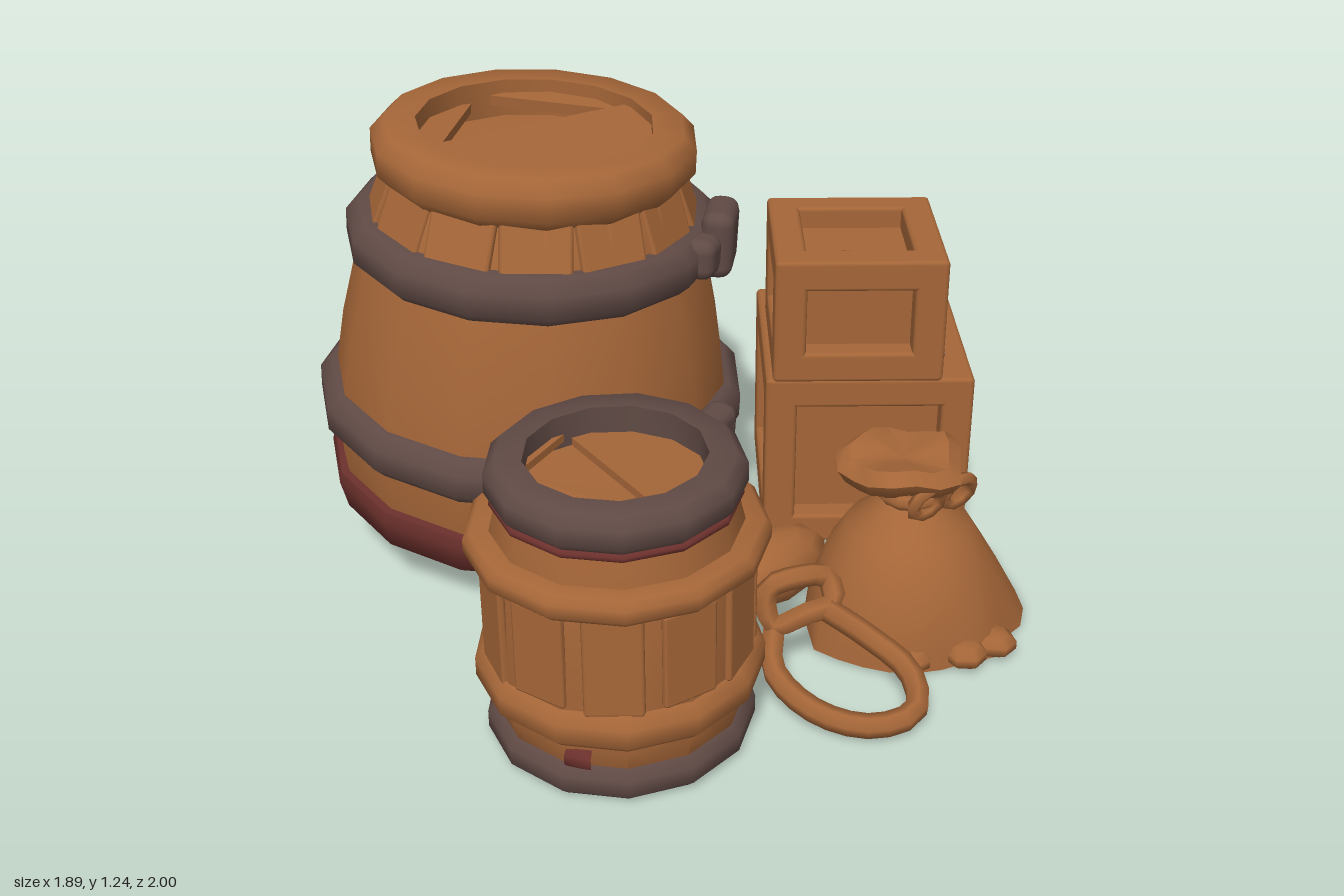
import * as THREE from 'three';
import { toCreasedNormals } from 'three/addons/utils/BufferGeometryUtils.js';
import { RoundedBoxGeometry } from 'three/addons/geometries/RoundedBoxGeometry.js';

const mat = (name, color) => new THREE.MeshStandardMaterial({ name, color });
const wood = mat('wood', 0xa56638);
const iron = mat('iron', 0x604a45);
const red = mat('darkRed', 0x6b302c);

function add(parent, name, geometry, material, pos = [0, 0, 0], rot = [0, 0, 0]) {
  const m = new THREE.Mesh(geometry, material);
  m.name = name;
  m.position.set(...pos);
  m.rotation.set(...rot);
  parent.add(m);
  return m;
}

function group(parent, name, pos, rot = [0, 0, 0]) {
  const g = new THREE.Group();
  g.name = name;
  g.position.set(...pos);
  g.rotation.set(...rot);
  parent.add(g);
  return g;
}

const lathe = (pts, sides, start = 0, length = Math.PI * 2) => toCreasedNormals(
  new THREE.LatheGeometry(pts.map(p => new THREE.Vector2(...p)), sides, start, length), 0.9);

// Rounded hoop between two heights, from inner to outer radius
function hoop(inner, outer, y0, y1, sides, start, length) {
  const b = (y1 - y0) * 0.26;
  return lathe([[inner, y0], [outer - b, y0], [outer, y0 + b], [outer, y1 - b],
    [outer - b, y1], [inner, y1], [inner, y0]], sides, start, length);
}

// Flat pie slice used for lid boards
function slice(r, a0, a1, h) {
  const s = new THREE.Shape();
  s.moveTo(0, 0);
  s.absarc(0, 0, r, a0, a1, false);
  const g = new THREE.ExtrudeGeometry(s, { depth: h, bevelEnabled: false, curveSegments: 10 });
  return g.rotateX(-Math.PI / 2);
}

// Run a callback for each of n angles around a barrel
function around(n, fn) {
  for (let i = 0; i < n; i++) fn((i / n) * Math.PI * 2, i);
}

function bigBarrel(root) {
  const g = group(root, 'bigBarrel', [-0.315, 0.125, -0.435], [0.055, 0, -0.03]);
  const n = 15;
  // Body, closed by a sunken floor under the lid
  add(g, 'bigBarrelBody', lathe([[0.53, 0.05], [0.555, 0.2], [0.55, 0.35], [0.525, 0.52], [0.48, 0.72],
    [0.435, 0.86], [0.385, 1.0], [0.33, 1.02], [0.33, 0.99], [0, 0.99]], n), wood);
  add(g, 'bigBarrelBase', lathe([[0, 0.03], [0.48, 0.03], [0.52, 0], [0.55, 0.02], [0.572, 0.1],
    [0.565, 0.13], [0.52, 0.135]], n), red);
  add(g, 'lowerHoop', hoop(0.53, 0.595, 0.245, 0.375, n), iron);
  add(g, 'upperHoop', hoop(0.42, 0.505, 0.73, 0.86, n), iron);
  add(g, 'bigBarrelRim', hoop(0.315, 0.433, 0.96, 1.095, n), wood);
  // Stave ends under the rim
  around(13, a => add(g, 'neckStave', new RoundedBoxGeometry(0.185, 0.15, 0.03, 1, 0.01), wood,
    [Math.sin(a) * 0.4, 0.91, Math.cos(a) * 0.4], [-0.36, a, 0, 'YXZ']));
  // Lid boards, the rear ones sunken
  add(g, 'lidFront', slice(0.33, Math.PI, Math.PI * 2, 0.03), wood, [0, 1.04, -0.04], [0.02, 0.06, 0]);
  add(g, 'lidBackRight', slice(0.31, 0, Math.PI / 2, 0.03), wood, [0.02, 1.01, -0.02], [0.05, 0.06, 0.04]);
  add(g, 'lidBackLeft', slice(0.31, Math.PI / 2, Math.PI, 0.03), wood, [0, 0.995, -0.02], [0.05, 0.06, -0.04]);
  // Hoop clasps
  const clasp = (name, a, r, y, s) => {
    const c = group(g, name, [Math.sin(a) * r, y, Math.cos(a) * r], [0, a, 0]);
    add(c, 'claspBlock', new RoundedBoxGeometry(s, s * 1.15, 0.09, 2, 0.035), iron);
    return c;
  };
  clasp('upperClasp', 0.87, 0.505, 0.815, 0.165);
  clasp('upperClaspEnd', 0.64, 0.485, 0.805, 0.1);
  const c = clasp('lowerClasp', 0.48, 0.585, 0.325, 0.145);
  add(c, 'rustSpot', new THREE.CylinderGeometry(0.022, 0.022, 0.008, 6), red, [0, 0.02, 0.046], [Math.PI / 2, 0, 0]);
}

function smallBarrel(root) {
  const g = group(root, 'smallBarrel', [-0.585, 0, 0.535]);
  const n = 13;
  // Body, closed by floors at both ends
  add(g, 'smallBarrelBody', lathe([[0, 0.035], [0.25, 0.03], [0.3, 0.06], [0.315, 0.14],
    [0.322, 0.25], [0.313, 0.45], [0.306, 0.55], [0.275, 0.68], [0.225, 0.7], [0.225, 0.67], [0, 0.66]], n), wood);
  add(g, 'smallBarrelFoot', hoop(0.235, 0.328, 0, 0.09, n), iron);
  add(g, 'footRust', hoop(0.26, 0.322, 0.08, 0.108, 7, 1.9, 2.5), red);
  add(g, 'lowerWoodHoop', hoop(0.29, 0.35, 0.155, 0.255, n), wood);
  add(g, 'upperWoodHoop', hoop(0.28, 0.36, 0.515, 0.58, n), wood);
  add(g, 'rimRust', hoop(0.25, 0.295, 0.645, 0.662, n), red);
  add(g, 'smallBarrelRim', hoop(0.215, 0.305, 0.658, 0.755, n), iron);
  // Rust patches spreading above the foot
  for (const a of [-0.95, 0.95]) {
    add(g, 'rustPatch', hoop(0.3, 0.324, 0.085, 0.14, 2, a, 0.2), red);
  }
  // Raised staves
  around(11, (a, i) => add(g, 'stave', new RoundedBoxGeometry(0.14, 0.25 + (i % 3) * 0.02, 0.02, 1, 0.008), wood,
    [Math.sin(a) * 0.312, 0.385, Math.cos(a) * 0.312], [0, a, 0]));
  // Lid in three boards
  const cuts = [-Math.PI / 2, Math.PI / 2, Math.PI * 0.82, Math.PI * 1.5];
  for (let i = 0; i < 3; i++) {
    add(g, 'smallLidBoard', slice(0.22, cuts[i], cuts[i + 1], 0.02), wood,
      [0, 0.675 + (i % 2) * 0.01, 0], [0.03 * (i - 1), 0, 0.04 * (i - 1)]);
  }
}

// Crate with twelve beams around a recessed box
function crate(root, name, [w, h, d], pos, rot) {
  const g = group(root, name, pos, rot);
  const t = 0.088, inset = 0.062;
  add(g, 'cratePanels', new THREE.BoxGeometry(w - 2 * inset, h - 2 * inset, d - 2 * inset), wood, [0, h / 2, 0]);
  const size = [w, h, d];
  for (let axis = 0; axis < 3; axis++) {
    const u = (axis + 1) % 3, v = (axis + 2) % 3;
    for (const su of [-1, 1]) for (const sv of [-1, 1]) {
      const dim = [t, t, t], p = [0, h / 2, 0];
      dim[axis] = size[axis];
      p[u] += su * (size[u] - t) / 2;
      p[v] += sv * (size[v] - t) / 2;
      add(g, 'crateBeam', new RoundedBoxGeometry(...dim, 1, 0.012), wood, p);
    }
  }
}

function sack(root) {
  const g = group(root, 'sack', [0.26, 0, 0.585]);
  // Body with uneven folds spreading out at the foot
  const body = new THREE.LatheGeometry([[0, 0.005], [0.27, 0.005], [0.265, 0.05], [0.25, 0.13], [0.215, 0.22],
    [0.165, 0.3], [0.09, 0.365], [0.06, 0.4]].map(p => new THREE.Vector2(...p)), 24);
  const folds = [[-0.18, 0.6], [-0.58, 0.5], [0.25, 0.25], [0.65, 0.3], [1.25, 0.15], [3.1, 0.1]];
  const p = body.attributes.position;
  for (let i = 0; i < p.count; i++) {
    const x = p.getX(i), y = p.getY(i), z = p.getZ(i), a = Math.atan2(z, x);
    let k = 1;
    for (const [fa, s] of folds) {
      const d = Math.atan2(Math.sin(a - fa), Math.cos(a - fa));
      k += s * Math.exp(-d * d * 25) * Math.max(0, 1 - y / 0.22) ** 1.4;
    }
    p.setXYZ(i, x * k, y, z * k * 0.95);
  }
  add(g, 'sackBody', toCreasedNormals(body, 0.8), wood);
  // Gathered mouth above the tie
  const mouth = new THREE.LatheGeometry([[0.058, 0.38], [0.085, 0.41], [0.145, 0.44], [0.165, 0.475],
    [0.13, 0.505], [0.06, 0.495], [0, 0.485]].map(q => new THREE.Vector2(...q)), 16);
  const m = mouth.attributes.position;
  for (let i = 0; i < m.count; i++) {
    const x = m.getX(i), y = m.getY(i), z = m.getZ(i), a = Math.atan2(z, x);
    const f = 1 + 0.08 * Math.cos(a * 5);
    m.setXYZ(i, x * f - 0.015, y + Math.hypot(x, z) * 0.1 * Math.sin(a * 3 + 1), z * f * 0.95 - 0.025);
  }
  add(g, 'sackMouth', toCreasedNormals(mouth, 0.8), wood);
  add(g, 'sackTie', new THREE.TorusGeometry(0.068, 0.022, 6, 12), wood, [0, 0.395, 0], [Math.PI / 2, 0, 0]);
  for (const s of [-1, 1]) {
    add(g, 'tieBow', new THREE.TorusGeometry(0.045, 0.018, 5, 9), wood, [0.03 + s * 0.05, 0.41, 0.09], [0.3, 0, s * 0.4]);
  }
  // Cloth ends lying around the foot
  for (const [x, z, a, l] of [[0.09, 0.25, 0.5, 0.1], [0.0, 0.25, -0.4, 0.09], [-0.13, 0.19, -0.7, 0.09]]) {
    const flap = add(g, 'clothEnd', new THREE.SphereGeometry(1, 7, 5), wood, [x, 0.035, z], [0, a, 0]);
    flap.scale.set(0.06, 0.035, l * 0.7);
  }
  // Bundle behind the sack
  const bundle = add(g, 'bundle', new THREE.SphereGeometry(1, 9, 7), wood, [-0.24, 0.1, -0.26], [0, 0.2, 0]);
  bundle.scale.set(0.18, 0.1, 0.1);
}

function rope(root) {
  const curve = (pts, closed) => new THREE.CatmullRomCurve3(pts.map(q => new THREE.Vector3(...q)), closed);
  const loop = [[-0.16, 0.13, 0.58], [-0.23, 0.08, 0.68], [-0.21, 0.045, 0.83], [-0.12, 0.035, 0.94],
    [-0.01, 0.05, 0.965], [0.05, 0.08, 0.87], [0.01, 0.13, 0.74], [-0.06, 0.19, 0.66]];
  add(root, 'ropeLoop', new THREE.TubeGeometry(curve(loop, false), 20, 0.031, 6, false), wood);
  const knot = [[-0.17, 0.14, 0.59], [-0.17, 0.23, 0.56], [-0.1, 0.26, 0.59], [-0.02, 0.24, 0.61],
    [-0.03, 0.19, 0.65], [-0.1, 0.18, 0.64]];
  add(root, 'ropeKnot', new THREE.TubeGeometry(curve(knot, true), 16, 0.03, 6, true), wood);
}

export function createModel() {
  const root = new THREE.Group();
  root.name = 'barrelsAndCrates';
  bigBarrel(root);
  smallBarrel(root);
  crate(root, 'lowerCrate', [0.575, 0.525, 0.6], [0.55, 0, -0.012], [0, -0.56, 0]);
  crate(root, 'upperCrate', [0.465, 0.36, 0.465], [0.48, 0.52, 0.032], [0, -0.56, 0]);
  add(root, 'crateBracket', new THREE.BoxGeometry(0.03, 0.009, 0.09), iron, [0.66, 0.528, 0.2], [0, -0.56, 0]);
  sack(root);
  rope(root);
  return root;
}
